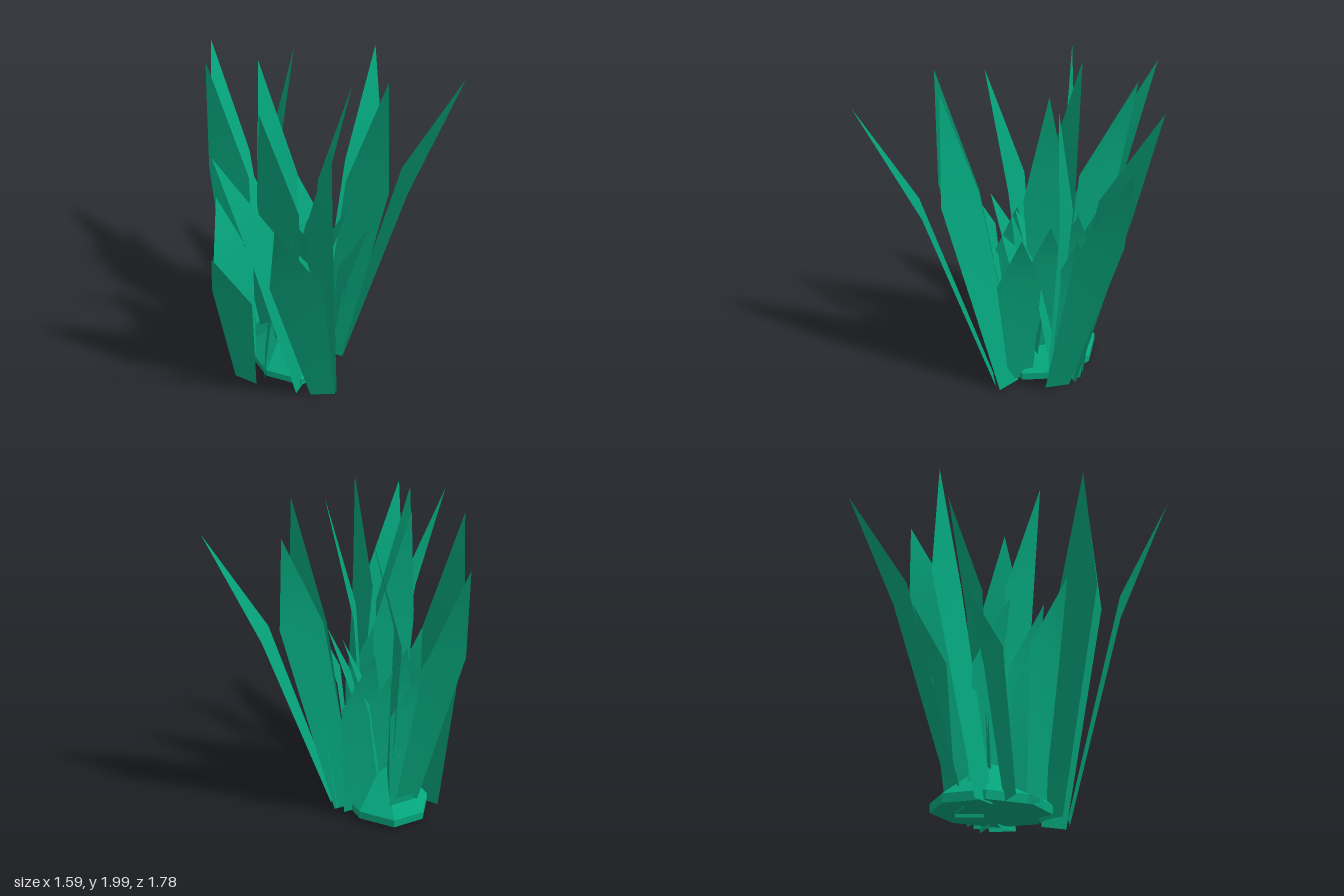
import * as THREE from 'three';

const color = 0x05a67d;
const rootMaterial = new THREE.MeshStandardMaterial({ color, flatShading: true });
const leafMaterial = new THREE.MeshStandardMaterial({ color, side: THREE.DoubleSide });

// Flat pointed leaf: base edge, wider middle edge, single tip.
// side is the horizontal direction [x, z] running across the leaf.
function blade(name, base, mid, tip, side) {
  const s = new THREE.Vector3(side[0], 0, side[1]).normalize();
  const across = (p, w) => new THREE.Vector3(...p).addScaledVector(s, w);
  const geometry = new THREE.BufferGeometry().setFromPoints([
    across(base, -0.076), across(base, 0.076),
    across(mid, 0.133), across(mid, -0.133), new THREE.Vector3(...tip),
  ]);
  geometry.setIndex([0, 1, 2, 0, 2, 3, 3, 2, 4]);
  geometry.computeVertexNormals();
  const mesh = new THREE.Mesh(geometry, leafMaterial);
  mesh.name = name;
  return mesh;
}

// Three short leaves bending outwards, 120 degrees apart around [x, z].
function shortTuft(x, z) {
  const tuft = new THREE.Group();
  tuft.name = 'shortTuft';
  for (let i = 0; i < 3; i++) {
    const a = -Math.PI / 2 + (i * Math.PI * 2) / 3;
    const dx = Math.cos(a), dz = Math.sin(a);
    const at = (r, y) => [x + dx * r, y, z + dz * r];
    tuft.add(blade('shortBlade', at(0.075, 0.03), at(0.16, 0.8), at(0.32, 1.2), [-dz, dx]));
  }
  return tuft;
}

export function createModel() {
  const group = new THREE.Group();
  group.name = 'grassClump';

  // Low faceted mound at the root
  const root = new THREE.Group();
  root.name = 'rootMound';
  const rim = new THREE.Mesh(new THREE.CylinderGeometry(0.32, 0.32, 0.05, 8), rootMaterial);
  rim.name = 'rootRim';
  rim.position.y = 0.055;
  const dome = new THREE.Mesh(new THREE.CylinderGeometry(0.05, 0.32, 0.21, 8), rootMaterial);
  dome.name = 'rootDome';
  dome.position.y = 0.185;
  root.add(rim, dome);
  root.children.forEach((m) => { m.rotation.y = Math.PI / 8; });
  root.position.set(-0.21, 0, -0.01);
  root.scale.set(0.83, 1, 1.06);
  group.add(root);

  // Leaves as base, middle, tip, side direction
  const families = {
    // Wide leaves leaning far out
    outerBlade: [
      [[-0.24, 0.02, -0.2], [-0.26, 1.22, -0.577], [-0.18, 1.85, -0.89], [1, 0.01]],
      [[-0.235, 0.02, 0.43], [-0.55, 1.23, 0.66], [-0.79, 1.85, 0.89], [0.87, 0.5]],
      [[0.075, 0.02, 0.17], [0.475, 1.23, 0.205], [0.79, 1.85, 0.29], [-0.5, 0.87]],
    ],
    // Leaves that twist towards the tip
    twistedBlade: [
      [[0.04, 0.01, 0.05], [0.345, 1.34, -0.03], [0.52, 1.92, -0.2], [1, 0.01]],
      [[-0.3, 0.01, 0.29], [-0.56, 1.27, 0.38], [-0.8, 1.92, 0.33], [-0.86, 0.5]],
      [[-0.17, 0.01, -0.12], [-0.1, 1.3, -0.335], [0.11, 1.92, -0.42], [0.35, -0.94]],
    ],
    // Steep leaves around the outside
    steepBlade: [
      [[-0.15, 0.005, 0.38], [-0.33, 1.33, 0.53], [-0.32, 1.99, 0.62], [0.01, 1]],
      [[0, 0.02, 0.16], [0.205, 1.29, 0.205], [0.25, 1.99, 0.295], [0.53, 0.85]],
      [[-0.45, 0.02, -0.15], [-0.39, 1.29, -0.345], [-0.445, 1.99, -0.42], [0.53, 0.85]],
    ],
    // Tall leaves in the centre
    centreBlade: [
      [[-0.2, 0.03, -0.03], [-0.2, 1.3, -0.11], [-0.2, 1.99, -0.28], [1, 0]],
      [[-0.27, 0.03, 0.08], [-0.335, 1.3, 0.12], [-0.475, 1.99, 0.21], [0.5, 0.87]],
      [[-0.13, 0.03, 0.08], [-0.065, 1.3, 0.12], [0.08, 1.99, 0.21], [-0.5, 0.87]],
    ],
  };
  for (const [name, list] of Object.entries(families)) {
    for (const leaf of list) group.add(blade(name, ...leaf));
  }

  // Tufts of short leaves laid out in a cross
  for (const [x, z] of [[0.015, 0.04], [-0.515, 0.04], [-0.2, 0.05], [-0.2, 0.26], [-0.2, -0.16]]) {
    group.add(shortTuft(x, z));
  }

  return group;
}
